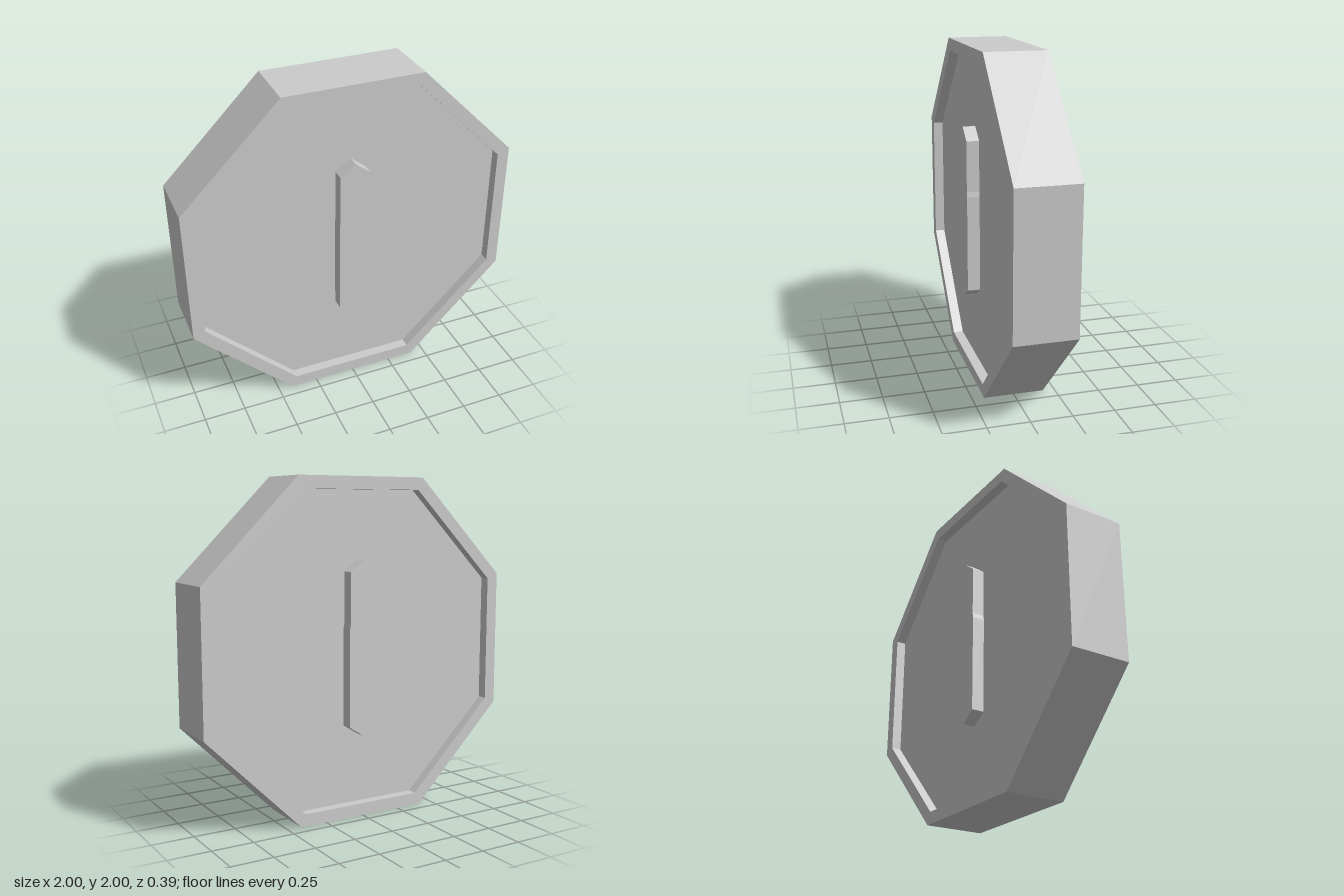
import * as THREE from 'three';

const material = new THREE.MeshStandardMaterial({ color: 0xcccccc, flatShading: true });

// Corners of a regular octagon with flat top, given its apothem
function octagon(apothem) {
  const r = apothem / Math.cos(Math.PI / 8);
  return Array.from({ length: 8 }, (_, i) => {
    const a = Math.PI / 8 + (i * Math.PI) / 4;
    return new THREE.Vector2(r * Math.cos(a), r * Math.sin(a));
  });
}

// Extrude a shape from z = back to z = front
function slab(name, shape, back, front) {
  const geometry = new THREE.ExtrudeGeometry(shape, { depth: front - back, bevelEnabled: false });
  geometry.translate(0, 0, back);
  const mesh = new THREE.Mesh(geometry, material);
  mesh.name = name;
  return mesh;
}

export function createModel() {
  const model = new THREE.Group();
  model.name = 'octagonalCoin';

  const rimZ = 0.18, faceZ = 0.12, ridgeZ = 0.195, innerApothem = 0.927;

  // Raised octagonal rim
  const rimShape = new THREE.Shape(octagon(1));
  rimShape.holes.push(new THREE.Path(octagon(innerApothem)));
  model.add(slab('rim', rimShape, -rimZ, rimZ));

  // Recessed disc inside the rim
  model.add(slab('disc', new THREE.Shape(octagon(innerApothem)), -faceZ, faceZ));

  // Pointed upright ridge on both faces, slightly wider in its lower part
  const side = [[0.095, -0.45], [0.095, 0.13], [0.09, 0.16], [0.09, 0.46]];
  const ridgeShape = new THREE.Shape([
    new THREE.Vector2(0, -0.51),
    ...side.map(([x, y]) => new THREE.Vector2(x, y)),
    new THREE.Vector2(0, 0.53),
    ...side.map(([x, y]) => new THREE.Vector2(-x, y)).reverse(),
  ]);
  model.add(slab('frontRidge', ridgeShape, faceZ, ridgeZ));
  model.add(slab('backRidge', ridgeShape, -ridgeZ, -faceZ));

  for (const part of model.children) part.position.y = 1;
  return model;
}
